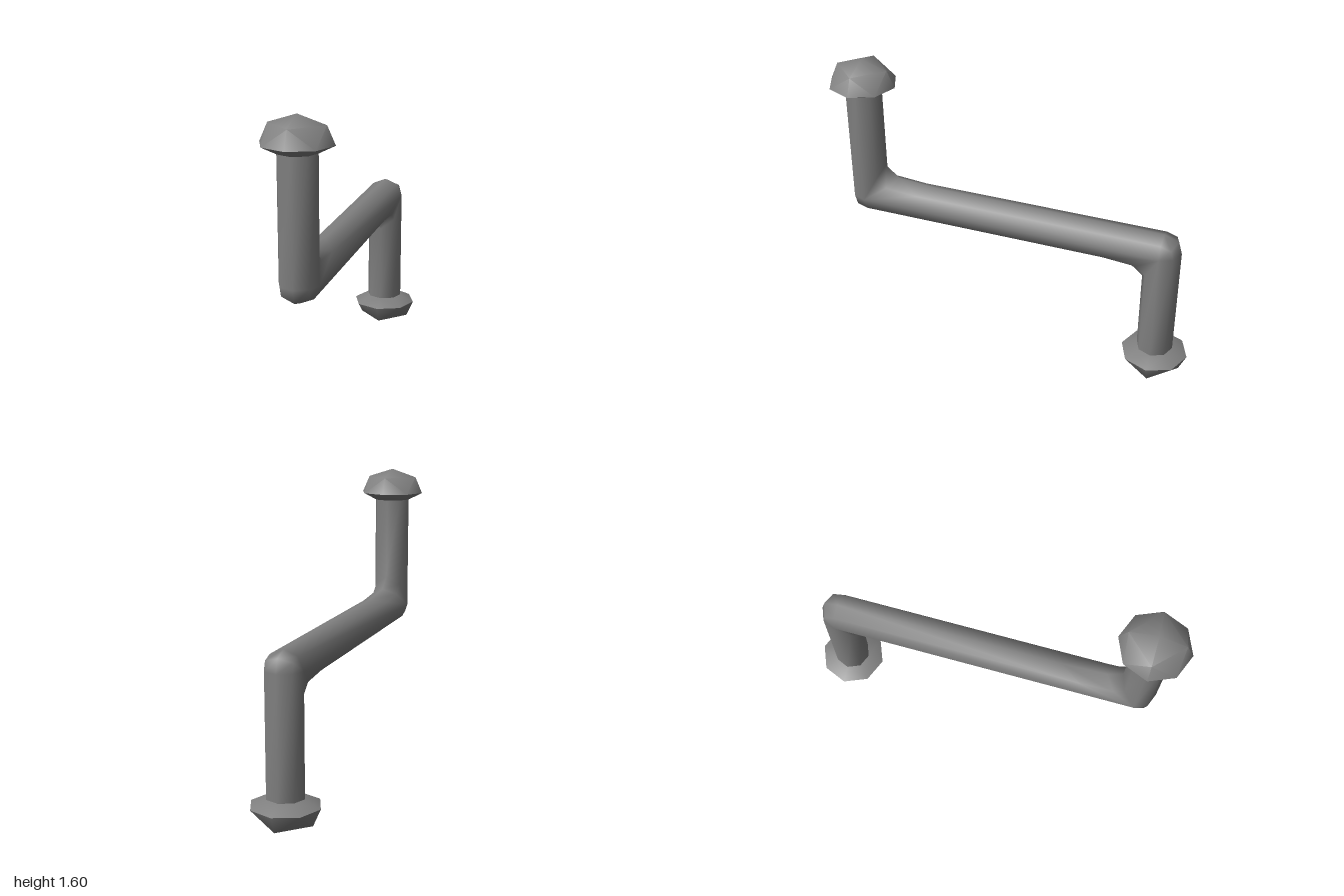
import * as THREE from 'three';
import { mergeVertices, toCreasedNormals } from 'three/addons/utils/BufferGeometryUtils.js';
import { ConvexGeometry } from 'three/addons/geometries/ConvexGeometry.js';

const SIDES = 8;
const RADIUS = 0.1;
const MID_Y = 0.8;

// Octagonal rings through three lines [z, y]: lower edge, sides and upper edge of the Z-shaped rod
function rodGeometry() {
  const outer = [[0.917, 1.43], [0.917, 0.8], [0.897, 0.73], [0.82, 0.703]];
  const centre = [[0.82, 1.43], [0.82, 0.8], [0.82, 0.8], [0.82, 0.8]];
  const inner = [[0.722, 1.43], [0.722, 0.985], [0.645, 0.92], [0.4, 0.9]];
  const turned = line => line.map(([z, y]) => [-z, 2 * MID_Y - y]).reverse();
  const lower = [...outer, ...turned(inner)];
  const sides = [...centre, ...turned(centre)];
  const upper = [...inner, ...turned(outer)];

  const positions = [], index = [];
  sides.forEach(([z, y], i) => {
    for (let j = 0; j < SIDES; j++) {
      const t = (j / SIDES) * Math.PI * 2;
      const [ez, ey] = Math.cos(t) > 0 ? lower[i] : upper[i];
      const c = Math.abs(Math.cos(t));
      positions.push(RADIUS * Math.sin(t), y + c * (ey - y), z + c * (ez - z));
      if (i === 0) continue;
      const k = (j + 1) % SIDES, p = (i - 1) * SIDES, q = i * SIDES;
      index.push(p + j, q + j, p + k, p + k, q + j, q + k);
    }
  });
  const geometry = new THREE.BufferGeometry();
  geometry.setAttribute('position', new THREE.Float32BufferAttribute(positions, 3));
  geometry.setIndex(index);
  const merged = mergeVertices(geometry);
  merged.computeVertexNormals();
  return merged;
}

// Faceted knob: two octagons, a square and a tip, its base at y = 0
function knobGeometry() {
  const points = [];
  for (const [radius, y, count] of [[0.1, 0, 8], [0.18, 0.04, 8], [0.14, 0.13, 4], [0, 0.175, 1]]) {
    for (let i = 0; i < count; i++) {
      const t = (i / count) * Math.PI * 2;
      points.push(new THREE.Vector3(radius * Math.sin(t), y, radius * Math.cos(t)));
    }
  }
  return toCreasedNormals(new ConvexGeometry(points), 1.0);
}

export function createModel() {
  const group = new THREE.Group();
  group.name = 'crankHandle';
  const material = new THREE.MeshStandardMaterial({ color: 0x808080 });

  const rod = new THREE.Mesh(rodGeometry(), material);
  rod.name = 'bentRod';
  group.add(rod);

  // One knob on each end, the lower one upside down
  const knob = knobGeometry();
  for (const s of [1, -1]) {
    const mesh = new THREE.Mesh(knob, material);
    mesh.name = s > 0 ? 'upperKnob' : 'lowerKnob';
    mesh.position.set(0, MID_Y + s * 0.625, s * 0.82);
    if (s < 0) mesh.rotation.x = Math.PI;
    group.add(mesh);
  }
  return group;
}
